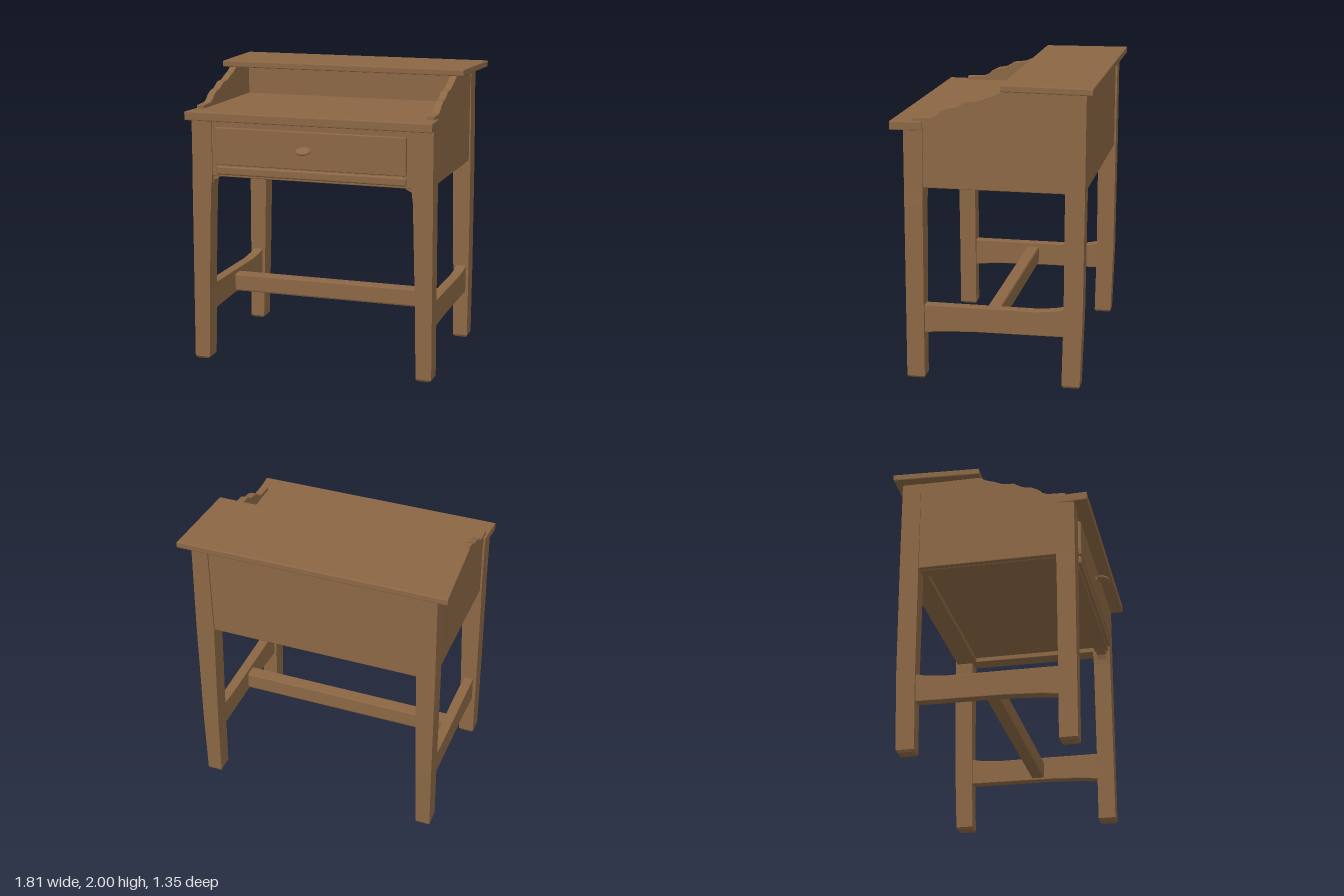
import * as THREE from 'three';
import { RoundedBoxGeometry } from 'three/addons/geometries/RoundedBoxGeometry.js';

export function createModel() {
  const wood = new THREE.MeshStandardMaterial({ color: 0x8b6744 });
  wood.name = 'warm brown wood';
  const model = new THREE.Group();
  model.name = 'writingDesk';

  const add = (name, geometry) => {
    const mesh = new THREE.Mesh(geometry, wood);
    mesh.name = name;
    model.add(mesh);
    return mesh;
  };

  // Box given by its limits, with softly rounded edges
  const block = (name, x0, x1, y0, y1, z0, z1, r = 0.006) => {
    const g = new RoundedBoxGeometry(x1 - x0, y1 - y0, z1 - z0, 2, r);
    g.translate((x0 + x1) / 2, (y0 + y1) / 2, (z0 + z1) / 2);
    return add(name, g);
  };

  // Square post through rings of [y, x0, x1, z0, z1], bottom to top
  const post = (name, rings, mirror) => {
    const n = rings.length - 1;
    let g = new THREE.BoxGeometry(1, 1, 1, 1, n, 1);
    const p = g.attributes.position;
    for (let i = 0; i < p.count; i++) {
      const [y, x0, x1, z0, z1] = rings[Math.round((p.getY(i) + 0.5) * n)];
      const left = p.getX(i) > 0;
      const x = mirror > 0 ? (left ? x1 : x0) : (left ? -x0 : -x1);
      p.setXYZ(i, x, y, p.getZ(i) > 0 ? z1 : z0);
    }
    g = g.toNonIndexed();
    g.computeVertexNormals();
    return add(name, g);
  };

  const extrude = (points, depth, bevel) => {
    const shape = new THREE.Shape(points.map(([a, b]) => new THREE.Vector2(a, b)));
    const g = new THREE.ExtrudeGeometry(shape, {
      depth: depth - 2 * bevel, bevelEnabled: bevel > 0, bevelSize: bevel,
      bevelThickness: bevel, bevelOffset: -bevel, bevelSegments: 2,
    });
    return g.translate(0, 0, bevel);
  };
  // Horizontal board from an outline of [x, z]
  const board = (name, points, top, thick) =>
    add(name, extrude(points, thick, 0.007).rotateX(Math.PI / 2).translate(0, top, 0));
  // Upright board from an outline of [z, y]; x is its middle
  const upright = (name, points, x, thick, bevel = 0.005) =>
    add(name, extrude(points, thick, bevel).rotateY(-Math.PI / 2).translate(x + thick / 2, 0, 0));

  for (const s of [1, -1]) {
    const side = s > 0 ? 'left' : 'right';

    // Tapered legs with worn feet
    post(side + 'FrontLeg', [
      [0, 0.755, 0.83, 0.45, 0.55],
      [0.015, 0.738, 0.845, 0.44, 0.56],
      [0.5, 0.728, 0.843, 0.44, 0.56],
      [1.2, 0.706, 0.84, 0.438, 0.56],
      [1.29, 0.695, 0.838, 0.435, 0.56],
      [1.7, 0.695, 0.838, 0.435, 0.56],
    ], s);
    post(side + 'BackLeg', [
      [0, 0.75, 0.83, -0.59, -0.49],
      [0.015, 0.738, 0.84, -0.6, -0.48],
      [0.5, 0.728, 0.84, -0.615, -0.49],
      [1.29, 0.71, 0.838, -0.62, -0.492],
      [1.96, 0.72, 0.83, -0.622, -0.494],
    ], s);

    // Side panel with a scalloped sloping top
    upright(side + 'SidePanel', [
      [-0.55, 1.305], [0.5, 1.305], [0.5, 1.765], [0.38, 1.77], [0.345, 1.785],
      [0.32, 1.81], [0.27, 1.835], [0.21, 1.845], [0.15, 1.88], [0.07, 1.888],
      [0.02, 1.91], [-0.04, 1.93], [-0.09, 1.958], [-0.55, 1.958],
    ], s * 0.8, 0.05);

    // Rail between front and back leg
    upright(side + 'Stretcher', [
      [0.46, 0.315], [0.46, 0.51], [-0.3, 0.51], [-0.42, 0.52], [-0.51, 0.54],
      [-0.51, 0.345], [0.1, 0.34], [0.32, 0.33],
    ], s * 0.785, 0.07);

    // Small bracket where the leg meets the apron
    const bracket = extrude([[0, 0], [-0.07, 0], [-0.055, -0.014], [-0.02, -0.03], [0, -0.09]], 0.07, 0);
    if (s < 0) bracket.rotateY(Math.PI);
    bracket.translate(s * 0.71, 1.3, s > 0 ? 0.465 : 0.535);
    add(side + 'Bracket', bracket);

    // Rail under the case
    block(side + 'LowerRail', s > 0 ? 0.7 : -0.79, s > 0 ? 0.79 : -0.7, 1.3, 1.36, -0.52, 0.48);
  }

  // Centre rail joining the side stretchers
  post('centreStretcher', [
    [0.355, -0.77, 0.77, -0.04, 0.04],
    [0.365, -0.77, 0.77, -0.045, 0.045],
    [0.47, -0.77, 0.77, -0.045, 0.045],
    [0.48, -0.77, 0.77, -0.04, 0.04],
  ], 1);

  // Case
  block('backPanel', -0.76, 0.76, 1.3, 1.96, -0.608, -0.56);
  block('innerBackPanel', -0.785, 0.785, 1.7, 1.96, -0.37, -0.33);
  block('bottomPanel', -0.77, 0.77, 1.335, 1.36, -0.57, 0.5);
  block('backLowerRail', -0.72, 0.72, 1.3, 1.35, -0.57, -0.46);
  block('apron', -0.72, 0.72, 1.295, 1.7, 0.45, 0.55);

  // Drawer front, lower moulding and pull
  block('drawerFront', -0.66, 0.66, 1.38, 1.632, 0.5, 0.575);
  block('lowerMoulding', -0.66, 0.66, 1.312, 1.37, 0.5, 0.575, 0.012);
  const stem = new THREE.CylinderGeometry(0.014, 0.018, 0.06, 12).rotateX(Math.PI / 2);
  add('pullStem', stem).position.set(-0.02, 1.522, 0.595);
  const pull = add('drawerPull', new THREE.SphereGeometry(1, 20, 12));
  pull.scale.set(0.055, 0.019, 0.05);
  pull.rotation.x = 0.3;
  pull.position.set(-0.02, 1.515, 0.63);

  // Writing surface, wide at the front and narrowed between the side panels
  board('writingSurface', [
    [-0.85, 0.648], [0.85, 0.648], [0.838, 0.44], [0.79, 0.44],
    [0.785, -0.35], [-0.785, -0.35], [-0.79, 0.44], [-0.838, 0.44],
  ], 1.742, 0.06);

  // Upper shelf
  board('topShelf', [[-0.872, -0.08], [0.872, -0.08], [0.907, -0.672], [-0.907, -0.668]], 2, 0.045);

  return model;
}
